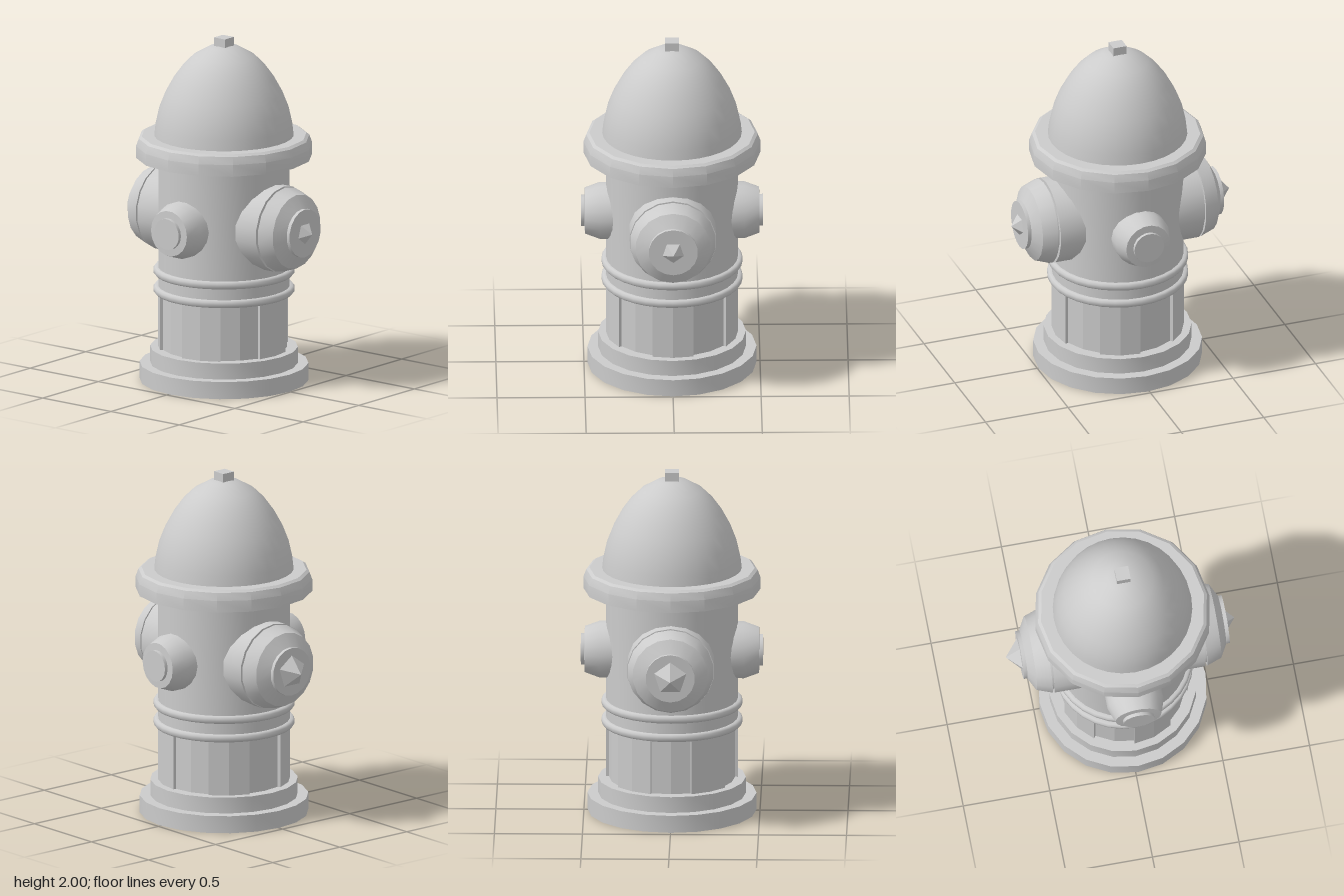
import * as THREE from 'three';
import { toCreasedNormals } from 'three/addons/utils/BufferGeometryUtils.js';

const grey = new THREE.MeshStandardMaterial({ color: 0xcccccc, side: THREE.DoubleSide });
const faceted = new THREE.MeshStandardMaterial({ color: 0xcccccc, side: THREE.DoubleSide, flatShading: true });

function part(name, geometry, material = grey) {
  const mesh = new THREE.Mesh(geometry, material);
  mesh.name = name;
  return mesh;
}

// Turned part from [radius, height] pairs, listed bottom to top
function turned(name, profile, sides, crease = 0.5) {
  const points = profile.map(([r, y]) => new THREE.Vector2(r, y));
  return part(name, toCreasedNormals(new THREE.LatheGeometry(points, sides), crease));
}

// Staves standing alternately proud and recessed around the barrel
function stavedBarrel(y0, y1) {
  const outline = [];
  const staves = 10, step = Math.PI * 2 / staves;
  for (let i = 0; i < staves; i++) {
    const r = i % 2 ? 0.358 : 0.376;
    for (let j = 0; j <= 2; j++) {
      const a = (i - 0.5 + j / 2) * step;
      outline.push([r * Math.sin(a), r * Math.cos(a)]);
    }
  }
  const positions = [];
  outline.forEach(([ax, az], i) => {
    const [bx, bz] = outline[(i + 1) % outline.length];
    positions.push(ax, y0, az, bx, y0, bz, bx, y1, bz);
    positions.push(ax, y0, az, bx, y1, bz, ax, y1, az);
  });
  const geometry = new THREE.BufferGeometry();
  geometry.setAttribute('position', new THREE.Float32BufferAttribute(positions, 3));
  geometry.computeVertexNormals();
  return part('stavedBarrel', geometry, faceted);
}

// Large outlet, built upward along y and then turned to face front or back
function largeOutlet(name, tipRadius, tipTop) {
  const group = new THREE.Group();
  group.name = name;
  group.add(turned('outletPipe', [[0.248, 0.2], [0.248, 0.435], [0.225, 0.435], [0.225, 0.447]], 18));
  group.add(turned('outletCap', [
    [0.225, 0.447], [0.245, 0.447], [0.215, 0.532], [0.14, 0.573], [0.14, 0.594], [0, 0.594],
  ], 18));
  const height = tipTop - 0.594;
  const tip = part('capTip', new THREE.ConeGeometry(tipRadius, height, 5, 1, true), faceted);
  tip.position.y = 0.594 + height / 2;
  group.add(tip);
  group.position.y = 0.945;
  return group;
}

export function createModel() {
  const model = new THREE.Group();
  model.name = 'hydrant';
  const body = new THREE.Group();
  body.name = 'body';
  body.position.z = 0.013;
  model.add(body);

  // Stepped base, open underneath
  body.add(turned('base', [
    [0.48, 0], [0.48, 0.1], [0.42, 0.1], [0.42, 0.193], [0.355, 0.193],
  ], 20));
  body.add(stavedBarrel(0.193, 0.52));
  body.add(turned('barrel', [[0.35, 0.515], [0.375, 0.515], [0.375, 1.32]], 32));

  // Rounded bands
  for (const y of [0.532, 0.641]) {
    const band = [[0.37, -0.021], [0.392, -0.021], [0.401, -0.01], [0.401, 0.01], [0.392, 0.021], [0.37, 0.021]];
    body.add(turned('band', band.map(([r, h]) => [r, y + h]), 32, 0.9));
  }

  // Brim, dome and top nut
  body.add(turned('brim', [
    [0.36, 1.307], [0.503, 1.307], [0.503, 1.375], [0.487, 1.418], [0.47, 1.43], [0.38, 1.43],
  ], 16));
  body.add(turned('dome', [
    [0.397, 1.425], [0.39, 1.49], [0.369, 1.585], [0.334, 1.675], [0.285, 1.765],
    [0.234, 1.835], [0.175, 1.893], [0.085, 1.945], [0, 1.957],
  ], 32, 0.9));
  const nut = part('topNut', new THREE.BoxGeometry(0.08, 0.06, 0.08));
  nut.position.y = 1.97;
  body.add(nut);

  // Front and back outlets
  const front = largeOutlet('frontOutlet', 0.063, 0.646);
  front.rotation.x = Math.PI / 2;
  const back = largeOutlet('backOutlet', 0.096, 0.675);
  back.rotation.x = -Math.PI / 2;
  body.add(front, back);

  // Left and right outlets
  for (const side of [1, -1]) {
    const outlet = turned(side > 0 ? 'leftOutlet' : 'rightOutlet', [
      [0.163, 0.25], [0.163, 0.41], [0.132, 0.495], [0.09, 0.497], [0.09, 0.517], [0, 0.517],
    ], 18);
    outlet.rotation.z = -side * Math.PI / 2;
    outlet.position.y = 0.945;
    body.add(outlet);
  }
  return model;
}
